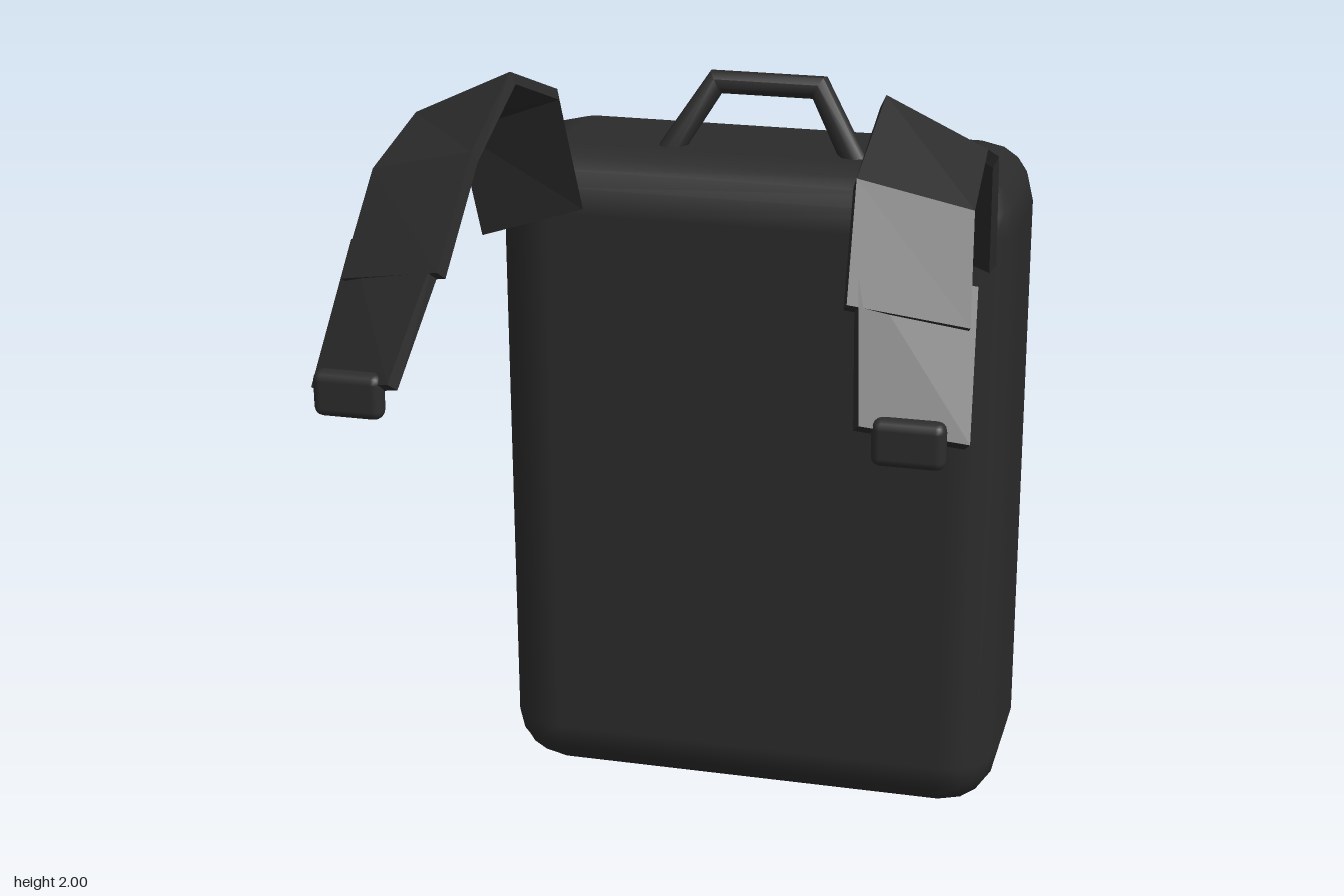
import * as THREE from 'three';
import { toCreasedNormals } from 'three/addons/utils/BufferGeometryUtils.js';
import { RoundedBoxGeometry } from 'three/addons/geometries/RoundedBoxGeometry.js';

const V = (x, y, z) => new THREE.Vector3(x, y, z);

// Joins cross-section loops (clockwise seen from the far end) into a closed solid
function loft(loops, crease) {
  const pos = [];
  const tri = (...pts) => pts.forEach((p) => pos.push(p.x, p.y, p.z));
  const n = loops[0].length;
  for (let i = 0; i + 1 < loops.length; i++) {
    const a = loops[i], b = loops[i + 1];
    for (let j = 0; j < n; j++) {
      const k = (j + 1) % n;
      tri(a[j], b[j], b[k]);
      tri(a[j], b[k], a[k]);
    }
  }
  const s = loops[0], e = loops[loops.length - 1];
  for (let j = 1; j + 1 < n; j++) {
    tri(s[0], s[j], s[j + 1]);
    tri(e[0], e[j + 1], e[j]);
  }
  const g = new THREE.BufferGeometry();
  g.setAttribute('position', new THREE.Float32BufferAttribute(pos, 3));
  g.computeVertexNormals();
  return crease ? toCreasedNormals(g, crease) : g;
}

// Ribbon between an inner and an outer edge, thickened towards its underside
function ribbon(edges, thickness, side) {
  const mid = edges.map(([a, b]) => a.clone().add(b).multiplyScalar(0.5));
  const loops = edges.map(([a, b], i) => {
    const t = mid[Math.min(i + 1, mid.length - 1)].clone().sub(mid[Math.max(i - 1, 0)]);
    const down = b.clone().sub(a).cross(t).normalize().multiplyScalar(thickness);
    const loop = [a, b, b.clone().add(down), a.clone().add(down)];
    return side > 0 ? loop : loop.map((p) => V(-p.x, p.y, p.z)).reverse();
  });
  return loft(loops);
}

export function createModel() {
  const model = new THREE.Group();
  model.name = 'backpack';
  const material = (name, color) => {
    const m = new THREE.MeshStandardMaterial({ color });
    m.name = name;
    return m;
  };
  const fabric = material('charcoal fabric', 0x2b2b2b);
  const plastic = material('dark plastic', 0x2d2d2d);
  const teal = material('teal zip', 0x2a9d8f);

  const add = (name, geometry, mat, parent = model) => {
    const mesh = new THREE.Mesh(geometry, mat);
    mesh.name = name;
    parent.add(mesh);
    return mesh;
  };
  const roundBox = (name, size, at, radius, mat, parent, segments = 2) =>
    add(name, new RoundedBoxGeometry(...size, segments, radius), mat, parent).position.set(...at);

  // Main compartment and rear pocket
  roundBox('body', [1.27, 1.67, 0.524], [0, 0.835, -0.49], 0.14, fabric);
  roundBox('pocket', [0.96, 0.88, 0.14], [0, 0.546, -0.79], 0.065, fabric);

  // Pocket zip and its slider
  const zip = add('zip', new THREE.CylinderGeometry(0.012, 0.012, 0.79, 8), teal);
  zip.rotation.z = Math.PI / 2;
  zip.position.set(0, 0.945, -0.874);
  roundBox('zipSlider', [0.076, 0.1, 0.038], [0.296, 0.95, -0.878], 0.015, plastic);

  // Carrying handle: a bent bar leaning backwards
  const path = [[-0.25, -0.025], [-0.128, 0.185], [0.128, 0.185], [0.25, -0.025]];
  const up = V(0, 0.925, -0.38), across = V(0, 0.38, 0.925);
  const rings = path.map(([x, h], i) => {
    const a = path[Math.max(i - 1, 0)], b = path[Math.min(i + 1, 3)];
    const len = Math.hypot(b[0] - a[0], b[1] - a[1]);
    const out = V(1, 0, 0).multiplyScalar((a[1] - b[1]) / len).addScaledVector(up, (b[0] - a[0]) / len);
    const centre = V(x, 1.645, -0.405).addScaledVector(up, h);
    return Array.from({ length: 8 }, (_, j) => {
      const q = (j / 8) * Math.PI * 2;
      return centre.clone()
        .addScaledVector(across, 0.034 * Math.cos(q))
        .addScaledVector(out, 0.032 * Math.sin(q));
    });
  });
  add('handle', loft(rings, 0.9), fabric);

  // Inner and outer edges of the shoulder strap, from the back to the chest
  const upper = [
    [V(0.395, 1.575, -0.2), V(0.62, 1.52, -0.115)],
    [V(0.4, 1.89, -0.045), V(0.632, 1.81, -0.005)],
    [V(0.42, 2.0, 0.24), V(0.642, 1.895, 0.24)],
    [V(0.415, 1.9, 0.535), V(0.655, 1.835, 0.49)],
    [V(0.435, 1.69, 0.722), V(0.678, 1.635, 0.65)],
  ];
  const lower = [
    [V(0.445, 1.755, 0.655), V(0.68, 1.7, 0.575)],
    [V(0.495, 1.495, 0.885), V(0.705, 1.435, 0.785)],
  ];

  for (const side of [1, -1]) {
    const word = side > 0 ? 'left' : 'right';
    // Vertical piping on the rear corners
    roundBox(word + 'Piping', [0.1, 1.433, 0.1], [side * 0.555, 0.837, -0.712], 0.03, fabric);
    // Shoulder strap with its overlapping end and buckle
    const strap = new THREE.Group();
    strap.name = word + 'Strap';
    model.add(strap);
    add('strapUpper', ribbon(upper, 0.03, side), fabric, strap);
    add('strapLower', ribbon(lower, 0.03, side), fabric, strap);
    roundBox('buckle', [0.152, 0.1, 0.048], [side * 0.592, 1.455, 0.854], 0.02, plastic, strap);
  }
  return model;
}
